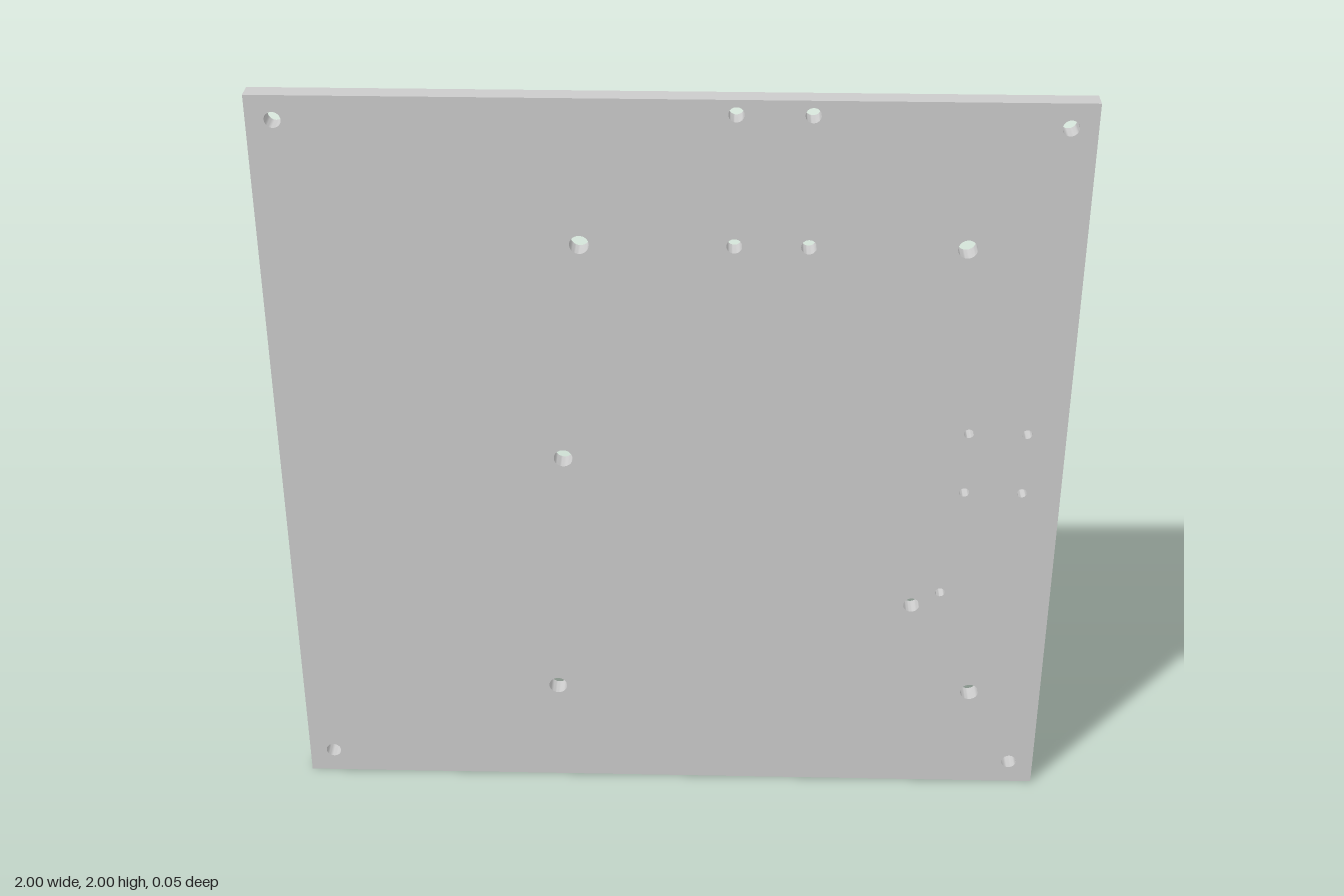
import * as THREE from 'three';
import { toCreasedNormals } from 'three/addons/utils/BufferGeometryUtils.js';

const SIZE = 2;
const THICKNESS = 0.05;

// Drilled holes grouped by radius: centres as [x, y]
const HOLES = [
  // corner mounting holes
  { radius: 0.02, at: [[-0.935, 0.068], [0.935, 0.068], [-0.935, 1.938], [0.935, 1.938]] },
  // four-hole pattern near the top edge
  { radius: 0.019, at: [[0.155, 1.625], [0.335, 1.625], [0.155, 1.963], [0.335, 1.963]] },
  // large standoff holes
  { radius: 0.024, at: [[-0.22, 1.624], [0.717, 1.624], [-0.273, 1.023], [-0.304, 0.304], [0.81, 0.304]] },
  // small four-hole pattern on the side, with one separate small hole
  { radius: 0.0125, at: [[0.754, 0.938], [0.901, 0.938], [0.754, 1.112], [0.901, 1.112], [0.711, 0.628]] },
  // single medium hole
  { radius: 0.021, at: [[0.638, 0.586]] },
];

function drill(shape, x, y, radius) {
  const hole = new THREE.Path();
  hole.absarc(x, y, radius, 0, Math.PI * 2, true);
  shape.holes.push(hole);
}

export function createModel() {
  const model = new THREE.Group();
  model.name = 'mountingPlate';

  // Square outline standing on the ground
  const h = SIZE / 2;
  const outline = new THREE.Shape([
    new THREE.Vector2(-h, 0),
    new THREE.Vector2(h, 0),
    new THREE.Vector2(h, SIZE),
    new THREE.Vector2(-h, SIZE),
  ]);
  for (const { radius, at } of HOLES) {
    for (const [x, y] of at) drill(outline, x, y, radius);
  }

  // Plate with smooth hole walls and sharp edges
  const geometry = new THREE.ExtrudeGeometry(outline, {
    depth: THICKNESS,
    bevelEnabled: false,
    curveSegments: 16,
  });
  geometry.translate(0, 0, -THICKNESS / 2);

  const plate = new THREE.Mesh(
    toCreasedNormals(geometry, Math.PI / 5),
    new THREE.MeshStandardMaterial({ color: 0xcccccc })
  );
  plate.name = 'drilledPlate';
  model.add(plate);

  return model;
}
